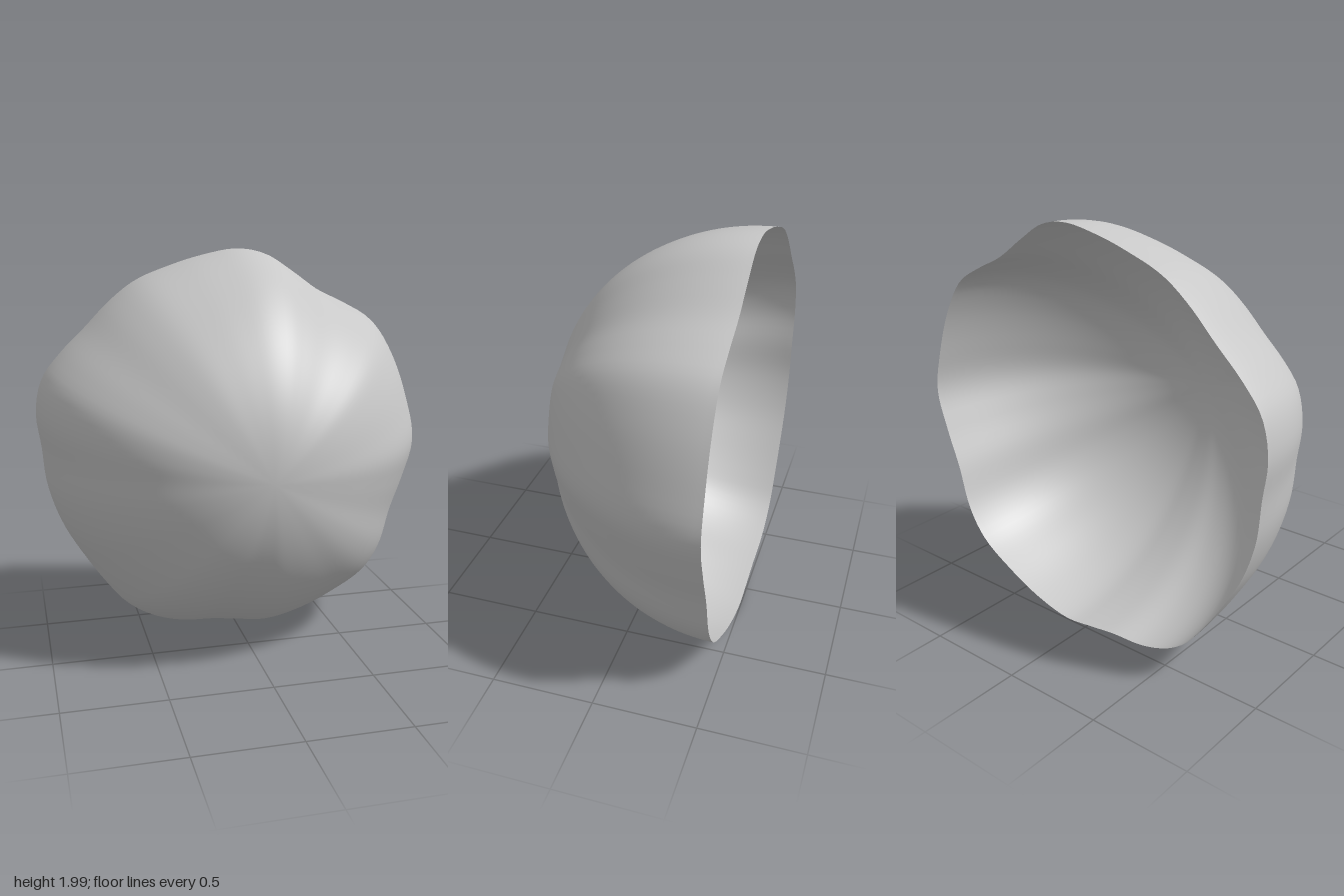
import * as THREE from 'three';
import { mergeVertices } from 'three/addons/utils/BufferGeometryUtils.js';

// wavy rim outline, counter-clockwise from the -x side, as x, y pairs
const RIM = [
  [-0.98, 1.0], [-0.96, 0.8], [-0.895, 0.6], [-0.79, 0.415], [-0.684, 0.26], [-0.604, 0.165],
  [-0.497, 0.095], [-0.353, 0.052], [-0.176, 0.042], [-0.016, 0.021], [0.128, 0.008], [0.33, 0.055],
  [0.52, 0.14], [0.71, 0.26], [0.81, 0.405], [0.875, 0.63], [0.947, 0.826], [1.0, 1.025],
  [0.957, 1.24], [0.87, 1.475], [0.765, 1.635], [0.625, 1.72], [0.48, 1.79], [0.33, 1.895],
  [0.2, 1.975], [0.06, 1.998], [-0.123, 1.967], [-0.283, 1.92], [-0.47, 1.845], [-0.604, 1.745],
  [-0.738, 1.61], [-0.87, 1.48], [-0.963, 1.355], [-1.0, 1.185],
];

export function createModel() {
  const group = new THREE.Group();
  group.name = 'wavyBowl';
  const grey = new THREE.MeshStandardMaterial({ color: 0xc8c8c8, side: THREE.DoubleSide });
  grey.name = 'lightGrey';

  const around = 144, rings = 48, depth = 0.99;
  const outline = new THREE.CatmullRomCurve3(
    RIM.map(([x, y]) => new THREE.Vector3(x, y - 1, 0)), true, 'centripetal').getSpacedPoints(around);

  // hemisphere with its pole at the front, each ring reshaped to the rim outline
  const dome = new THREE.SphereGeometry(1, around, rings, 0, Math.PI * 2, 0, Math.PI / 2);
  const pos = dome.attributes.position;
  for (let i = 0; i < pos.count; i++) {
    const p = outline[i % (around + 1)];
    const t = Math.floor(i / (around + 1)) / rings * Math.PI / 2;
    pos.setXYZ(i, p.x * Math.sin(t), p.y * Math.sin(t) + 1, Math.cos(t) * depth - depth / 2);
  }

  // weld the seam so the shading stays smooth
  dome.deleteAttribute('uv');
  dome.deleteAttribute('normal');
  const geometry = mergeVertices(dome, 1e-5);
  geometry.computeVertexNormals();

  const bowl = new THREE.Mesh(geometry, grey);
  bowl.name = 'bowlShell';
  group.add(bowl);
  return group;
}
